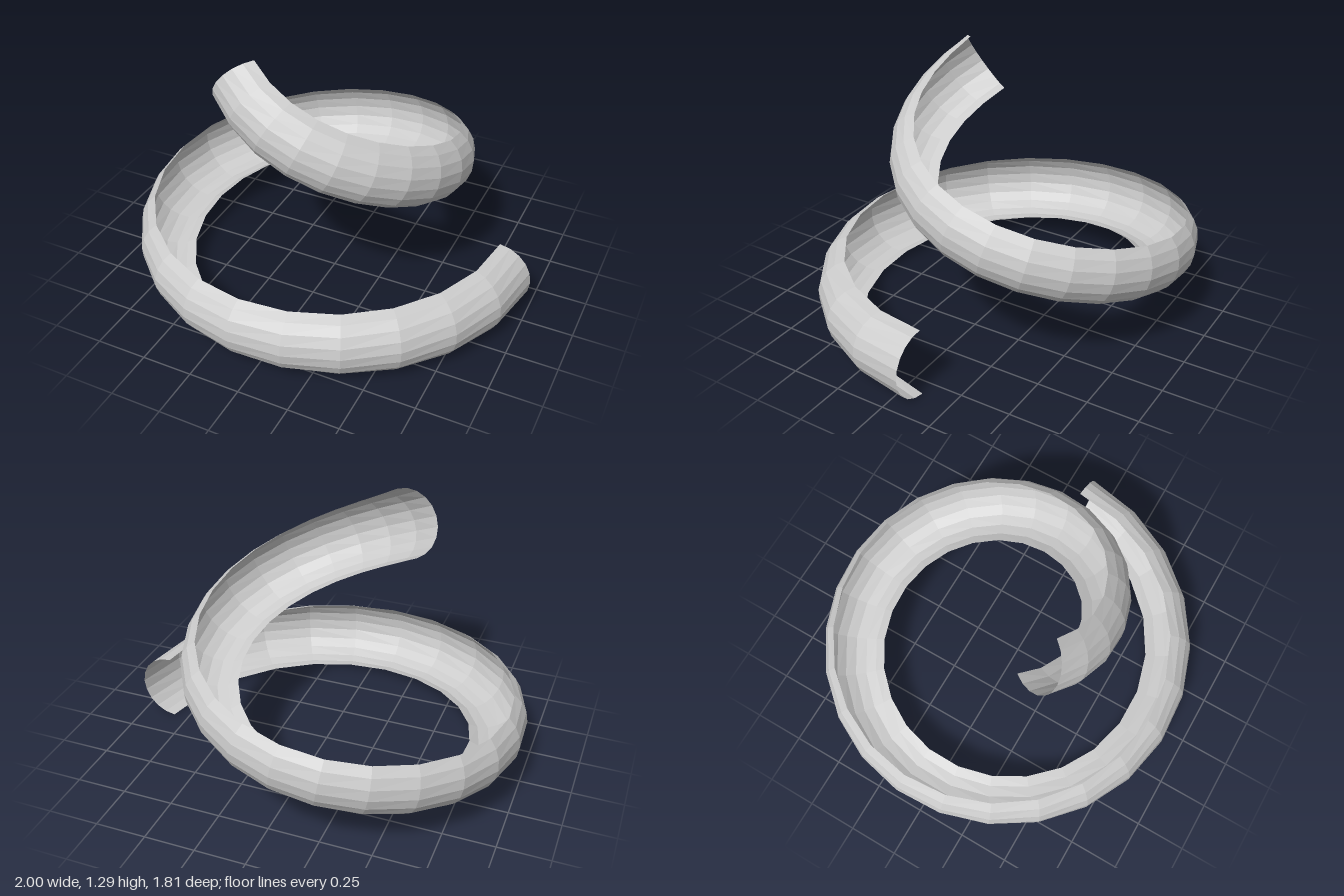
import * as THREE from 'three';

const TURN = THREE.MathUtils.degToRad(480); // total sweep of the spiral
const STEPS = 32;      // segments along the path
const SIDES = 10;      // segments across the half pipe
const PIPE = 0.17;     // half-pipe radius

// Centre line: an inward spiral that climbs ever more steeply
function path(t) {
  const a = t * TURN;
  const r = 0.925 - 0.0605 * a;
  const y = 0.17 + 0.97 * Math.pow(Math.max(t, 0), 2.22);
  return new THREE.Vector3(-0.095 + r * Math.cos(a), y, -0.095 + r * Math.sin(a));
}

// Half-circle section, convex side outward, banked most in mid-run
function section(t) {
  const e = 1e-4;
  const tangent = path(t + e).sub(path(t - e)).normalize();
  const out = new THREE.Vector3(tangent.z, 0, -tangent.x).normalize();
  const up = new THREE.Vector3().crossVectors(tangent, out);
  const bank = 0.7 * Math.sin(Math.PI * t);
  const belly = out.clone().multiplyScalar(Math.cos(bank)).addScaledVector(up, -Math.sin(bank));
  const chord = up.clone().multiplyScalar(Math.cos(bank)).addScaledVector(out, Math.sin(bank));
  const points = [];
  for (let j = 0; j <= SIDES; j++) {
    const q = (j / SIDES - 0.5) * Math.PI;
    points.push(path(t)
      .addScaledVector(belly, PIPE * Math.cos(q))
      .addScaledVector(chord, PIPE * Math.sin(q)));
  }
  return points;
}

export function createModel() {
  const points = [];
  const index = [];
  for (let i = 0; i <= STEPS; i++) points.push(...section(i / STEPS));
  for (let i = 0; i < STEPS; i++) {
    for (let j = 0; j < SIDES; j++) {
      const a = i * (SIDES + 1) + j;
      const b = a + SIDES + 1;
      index.push(a, a + 1, b, a + 1, b + 1, b);
    }
  }
  const indexed = new THREE.BufferGeometry().setFromPoints(points);
  indexed.setIndex(index);
  const geometry = indexed.toNonIndexed();
  geometry.computeVertexNormals();

  // Open spiral chute, visible inside and out
  const chute = new THREE.Mesh(geometry, new THREE.MeshStandardMaterial({
    color: 0xcccccc, flatShading: true, side: THREE.DoubleSide,
  }));
  chute.name = 'spiralChute';

  const model = new THREE.Group();
  model.name = 'spiralSlide';
  model.add(chute);
  return model;
}
